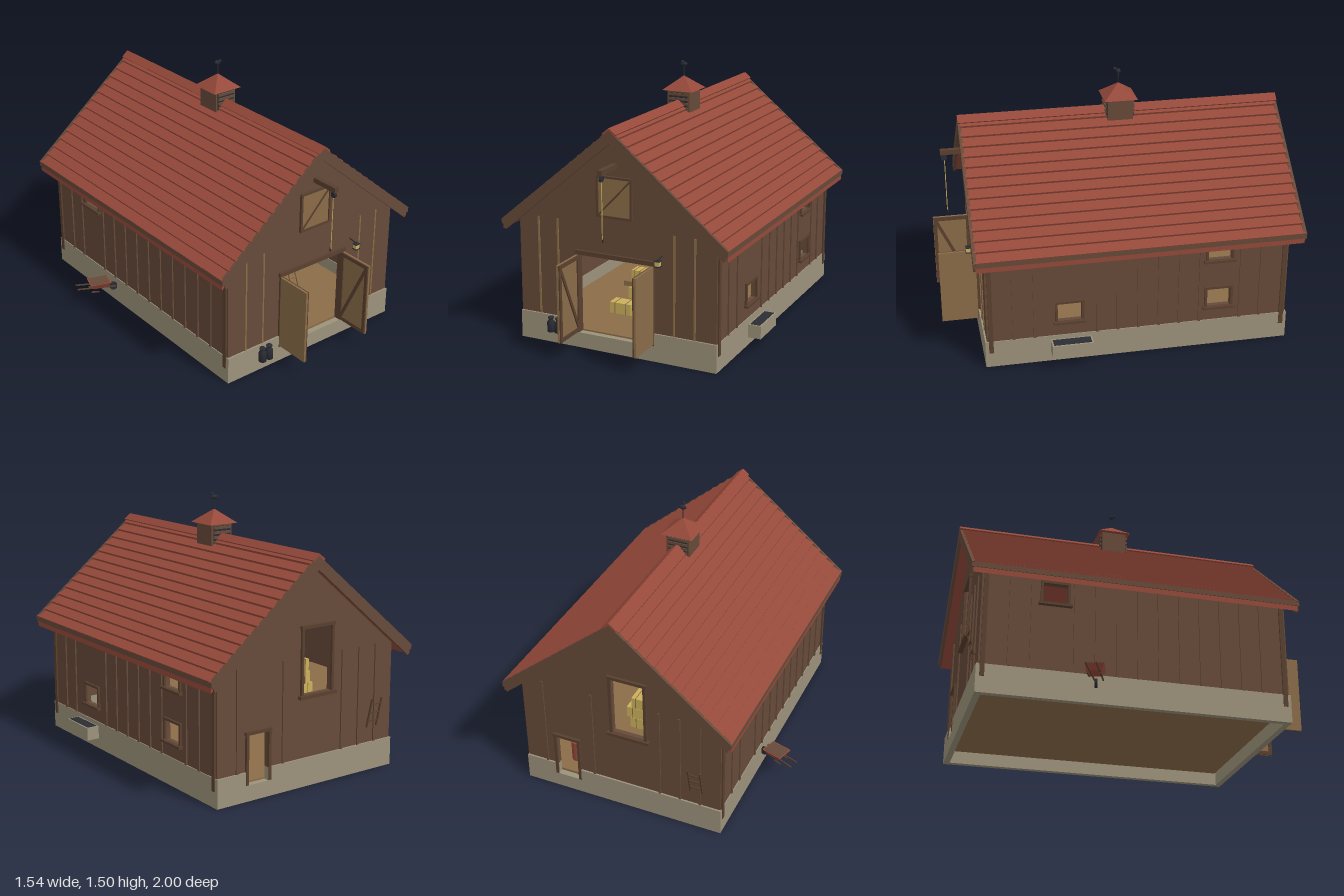
import * as THREE from 'three';

const mat = (name, color) => new THREE.MeshStandardMaterial({ name, color });

export function createModel() {
  const root = new THREE.Group();
  root.name = 'barn';
  const M = {
    wall: mat('barn board brown', 0x664a39),
    trim: mat('dark timber', 0x59402f),
    wood: mat('tan plank', 0x8b6c48),
    red: mat('roof red', 0x95493a),
    stone: mat('foundation stone', 0x9c927b),
    hay: mat('straw', 0xcbb05c),
    dark: mat('dark iron', 0x2b2d34),
  };
  const C = 0.06;                       // centre line of the barn
  const ZF = 0.78, ZB = -0.93, HW = 0.595;
  const SLOPE = 0.837, APEX = 1.205;

  const add = (name, geo, m, parent = root) => {
    const mesh = new THREE.Mesh(geo, m);
    mesh.name = name;
    parent.add(mesh);
    return mesh;
  };
  // box given by its min and max on each axis
  const box = (name, m, x0, x1, y0, y1, z0, z1, parent) => {
    const b = add(name, new THREE.BoxGeometry(x1 - x0, y1 - y0, z1 - z0), m, parent);
    b.position.set((x0 + x1) / 2, (y0 + y1) / 2, (z0 + z1) / 2);
    return b;
  };
  // square bar between two points
  const bar = (name, m, a, b, w, d = w, parent) => {
    const p = new THREE.Vector3(...a), q = new THREE.Vector3(...b);
    const mesh = add(name, new THREE.BoxGeometry(w, d, p.distanceTo(q)), m, parent);
    mesh.position.copy(p).add(q).multiplyScalar(0.5);
    mesh.lookAt(q);
    return mesh;
  };
  const cyl = (name, m, r0, r1, h, x, y, z, n = 12, parent = root) => {
    const c = add(name, new THREE.CylinderGeometry(r0, r1, h, n), m, parent);
    c.position.set(x, y, z);
    return c;
  };
  const poly = pts => new THREE.Shape(pts.map(p => new THREE.Vector2(...p)));
  const hole = (u0, u1, v0, v1) => poly([[u0, v0], [u0, v1], [u1, v1], [u1, v0]]);
  const extrude = (shape, depth) => new THREE.ExtrudeGeometry(shape, { depth, bevelEnabled: false });

  // Foundation ring with door gaps, and raised floor
  const FX0 = C - 0.6, FX1 = C + 0.6, FZ0 = -0.94, FZ1 = 0.79, T = 0.035;
  for (const x of [FX0, FX1 - T]) box('foundationSide', M.stone, x, x + T, 0, 0.16, FZ0, FZ1);
  for (const [z, a, b] of [[FZ1 - T, -0.17, 0.285], [FZ0, 0.33, 0.46]]) {
    box('foundationEnd', M.stone, FX0 + T, a, 0, 0.16, z, z + T);
    box('foundationEnd', M.stone, b, FX1 - T, 0, 0.16, z, z + T);
    box('threshold', M.stone, a, b, 0, 0.088, z, z + T);
  }
  box('floor', M.wood, FX0 + 0.045, FX1 - 0.045, 0.07, 0.092, FZ0 + 0.045, FZ1 - 0.045);

  // Gable walls
  const gable = () => poly([[C - HW, 0.16], [-0.17, 0.16], [-0.17, 0.54], [0.285, 0.54], [0.285, 0.16],
    [C + HW, 0.16], [C + HW, APEX - SLOPE * HW], [C, APEX], [C - HW, APEX - SLOPE * HW]]);
  add('frontWall', extrude(gable(), 0.025), M.wall).position.z = ZF - 0.025;
  const back = poly([[C - HW, 0.16], [0.33, 0.16], [0.33, 0.36], [0.46, 0.36], [0.46, 0.16],
    [C + HW, 0.16], [C + HW, APEX - SLOPE * HW], [C, APEX], [C - HW, APEX - SLOPE * HW]]);
  back.holes.push(hole(-0.09, 0.1, 0.51, 0.87));
  add('backWall', extrude(back, 0.025), M.wall).position.z = ZB;

  // Side walls with windows, given as z0, z1, y0, y1
  const upper = [-0.6, -0.465, 0.545, 0.66];
  const sides = { 1: [upper, [-0.6, -0.465, 0.25, 0.36], [0.25, 0.385, 0.25, 0.36]], '-1': [upper] };
  for (const s of [1, -1]) {
    const shape = poly([[-ZF + 0.025, 0.16], [-ZB - 0.025, 0.16], [-ZB - 0.025, 0.71], [-ZF + 0.025, 0.71]]);
    for (const [z0, z1, y0, y1] of sides[s]) shape.holes.push(hole(-z1, -z0, y0, y1));
    const w = add('sideWall', extrude(shape, 0.025), M.wall);
    w.rotation.y = Math.PI / 2;
    w.position.x = s > 0 ? C + HW - 0.025 : C - HW;
    const X = C + s * HW, out = d => [Math.min(X, X + s * d), Math.max(X, X + s * d)];
    for (const [z0, z1, y0, y1] of sides[s]) {
      for (const z of [z0 - 0.014, z1]) box('windowFrame', M.trim, ...out(0.012), y0, y1, z, z + 0.014);
      box('windowHead', M.trim, ...out(0.012), y1, y1 + 0.014, z0 - 0.014, z1 + 0.014);
      box('windowSill', M.trim, ...out(0.025), y0 - 0.014, y0, z0 - 0.024, z1 + 0.024);
    }
    // battens, skipping the windows
    for (let i = 0; i < 13; i++) {
      const z = 0.63 - i * 0.117;
      if (sides[s].some(q => z > q[0] - 0.03 && z < q[1] + 0.03)) continue;
      box('sideBatten', M.wall, ...out(0.008), 0.16, 0.69, z - 0.007, z + 0.007);
    }
    for (const z of [ZF - 0.035, ZB + 0.01])
      box('cornerBoard', M.trim, ...out(0.01), 0.09, 0.7, z, z + 0.025);
  }
  for (const x of [-0.415, -0.295, 0.41, 0.53]) box('frontBatten', M.wood, x - 0.005, x + 0.005, 0.16, 0.725, ZF, ZF + 0.006);
  for (const x of [-0.415, -0.295, -0.175, 0.23, 0.53]) box('backBatten', M.wall, x - 0.006, x + 0.006, 0.16, 0.72, ZB - 0.008, ZB);

  // Roof: stepped courses swept along the barn, plus verge and eave boards
  const RZ0 = -1.0, RZ1 = 0.84, RW = 0.675, N = 14, top = 1.255;
  for (const s of [1, -1]) {
    const pts = [[C, top - 0.05], [C, top]];
    for (let i = 1; i <= N; i++) {
      const d = RW * i / N, y = top - SLOPE * d;
      pts.push([C + s * (d + 0.005), y + 0.012], [C + s * d, y]);
    }
    pts.push([C + s * RW, top - 0.05 - SLOPE * RW]);
    const r = add('roofSlope', extrude(poly(pts), RZ1 - RZ0 - 0.02), M.red);
    r.position.z = RZ0 + 0.01;
    const verge = poly([[C, top - 0.065], [C, top + 0.008], [C + s * (RW + 0.006), top + 0.008 - SLOPE * RW],
      [C + s * (RW - 0.02), top - 0.05 - SLOPE * RW]]);
    for (const z of [RZ0, RZ1 - 0.018]) add('vergeBoard', extrude(verge, 0.018), M.wall).position.z = z;
    const xe = C + s * (RW - 0.004);
    box('eaveBoard', M.wall, xe - 0.008, xe + 0.008, 0.67, 0.698, RZ0, RZ1);
    bar('ridgeCap', M.red, [C + s * 0.018, 1.254, RZ0], [C + s * 0.018, 1.254, RZ1], 0.05, 0.012).rotateZ(s * 0.69 * -1);
  }

  // Cupola with louvres, pyramid roof and weathervane
  const CZ = -0.073;
  box('cupola', M.wall, C - 0.07, C + 0.07, 1.16, 1.328, CZ - 0.073, CZ + 0.073);
  for (const s of [1, -1]) {
    const z = CZ + s * 0.074;
    box('louvreOpening', M.dark, C - 0.058, C + 0.058, 1.215, 1.315, z - 0.003, z + 0.003);
    for (let i = 0; i < 4; i++)
      bar('louvreSlat', M.wall, [C - 0.058, 1.225 + i * 0.027, z + s * 0.005], [C + 0.058, 1.225 + i * 0.027, z + s * 0.005], 0.009, 0.015);
  }
  const cap = add('cupolaRoof', new THREE.ConeGeometry(0.134, 0.078, 4).toNonIndexed(), M.red);
  cap.geometry.computeVertexNormals();
  cap.rotation.y = Math.PI / 4;
  cap.position.set(C, 1.365, CZ);
  cyl('vanePole', M.dark, 0.003, 0.003, 0.08, C, 1.43, CZ, 6);
  const ball = (name, r, x, y, z, sx = 1) => {
    const b = add(name, new THREE.SphereGeometry(r, 10, 8), M.dark);
    b.position.set(x, y, z);
    b.scale.x = sx;
  };
  ball('vaneBody', 0.013, C, 1.472, CZ, 1.7);
  ball('vaneHead', 0.009, C, 1.487, CZ + 0.02);

  // Main doorway frame and open doors, braced on their inner faces
  for (const x of [-0.18, 0.28]) box('doorPost', M.trim, x, x + 0.015, 0.09, 0.55, ZF - 0.03, ZF + 0.012);
  box('doorLintel', M.trim, -0.185, 0.3, 0.542, 0.567, ZF - 0.03, ZF + 0.014);
  for (const s of [1, -1]) {
    const door = new THREE.Group();
    door.name = 'openDoor';
    root.add(door);
    const x = C - 0.003 + s * 0.23, xi = x - s * 0.01;
    box('doorPanel', M.wood, x - 0.006, x + 0.006, 0.1, 0.54, 0.785, 1.0, door);
    for (const y of [0.112, 0.528]) bar('doorRail', M.trim, [xi, y, 0.787], [xi, y, 0.998], 0.008, 0.022, door);
    for (const z of [0.796, 0.988]) box('doorStile', M.trim, xi - 0.004, xi + 0.004, 0.12, 0.52, z - 0.01, z + 0.01, door);
    bar('doorBrace', M.trim, [xi, 0.12, 0.8], [xi, 0.52, 0.985], 0.007, 0.018, door);
  }

  // Loft hatch, hoist beam, pulley and rope
  box('hatchPanel', M.wood, -0.045, 0.165, 0.775, 1.0, ZF, ZF + 0.008);
  for (const x of [-0.047, 0.155]) box('hatchStile', M.trim, x, x + 0.012, 0.775, 1.0, ZF, ZF + 0.015);
  for (const y of [0.772, 0.99]) box('hatchRail', M.trim, -0.047, 0.167, y, y + 0.012, ZF, ZF + 0.015);
  bar('hatchBrace', M.trim, [-0.035, 0.785, ZF + 0.01], [0.155, 0.985, ZF + 0.01], 0.008, 0.008);
  box('hoistBeam', M.trim, C - 0.014, C + 0.014, 1.045, 1.073, ZF - 0.02, 0.945);
  const pulley = cyl('pulley', M.dark, 0.017, 0.017, 0.014, C, 1.025, 0.925, 14);
  pulley.rotation.z = Math.PI / 2;
  cyl('hoistRope', M.hay, 0.0025, 0.0025, 0.33, C, 0.86, 0.922, 6);
  cyl('hoistHook', M.dark, 0.005, 0.003, 0.025, C, 0.69, 0.918, 6);

  // Back window and back door frames
  const frame = (name, x0, x1, y0, y1) => {
    for (const x of [x0 - 0.016, x1]) box(name, M.trim, x, x + 0.016, y0, y1, ZB - 0.014, ZB);
    box(name, M.trim, x0 - 0.02, x1 + 0.02, y1, y1 + 0.018, ZB - 0.016, ZB);
  };
  frame('backWindowFrame', -0.09, 0.1, 0.51, 0.87);
  box('backWindowSill', M.trim, -0.12, 0.13, 0.492, 0.51, ZB - 0.025, ZB);
  frame('backDoorFrame', 0.33, 0.46, 0.09, 0.36);

  // Loft, posts and braces inside
  box('loftFloor', M.wood, C - 0.57, C + 0.57, 0.433, 0.457, -0.9, 0.3);
  for (const z of [0.28, -0.25, -0.7]) {
    box('post', M.trim, C - 0.016, C + 0.016, 0.09, 0.433, z - 0.016, z + 0.016);
    for (const s of [1, -1]) bar('postBrace', M.trim, [C, 0.35, z], [C + s * 0.08, 0.43, z], 0.014);
  }
  for (const x of [0.235, 0.285]) bar('loftLadderRail', M.wood, [x, 0.09, 0.45], [x, 0.47, 0.29], 0.01);
  for (let i = 1; i < 7; i++) bar('loftLadderRung', M.wood, [0.235, 0.09 + i * 0.055, 0.45 - i * 0.023], [0.285, 0.09 + i * 0.055, 0.45 - i * 0.023], 0.008);

  // Straw bales, each with two dark cords: x0, x1, y0, z0, z1
  for (const [x0, x1, y, z0, z1] of [[-0.155, -0.02, 0.092, 0.38, 0.46], [-0.16, -0.085, 0.195, 0.1, 0.18],
    [-0.17, -0.03, 0.092, 0.08, 0.2], [0, 0.155, 0.092, 0.4, 0.49], [0.005, 0.16, 0.16, 0.4, 0.49],
    [0.125, 0.21, 0.457, 0.12, 0.22], [-0.08, 0.06, 0.457, -0.8, -0.7], [-0.06, 0.08, 0.525, -0.8, -0.7],
    [-0.05, 0.05, 0.593, -0.8, -0.7]]) {
    box('strawBale', M.hay, x0, x1, y, y + 0.066, z0, z1);
    for (const f of [0.25, 0.75]) {
      const x = x0 + (x1 - x0) * f;
      box('baleCord', M.wood, x - 0.002, x + 0.002, y - 0.001, y + 0.068, z0 - 0.002, z1 + 0.002);
    }
  }
  box('baleShelf', M.wood, -0.2, -0.04, 0.165, 0.195, 0.08, 0.2);

  // Milk cans and a barrel
  const can = [[0, 0], [0.022, 0], [0.022, 0.055], [0.012, 0.068], [0.012, 0.075], [0.017, 0.077], [0.017, 0.085], [0, 0.085]];
  for (const [x, y, z] of [[-0.327, 0.08, 0.825], [-0.28, 0.08, 0.825], [0.185, 0.092, 0.42], [0.215, 0.092, 0.36]])
    add('milkCan', new THREE.LatheGeometry(can.map(p => new THREE.Vector2(...p)), 14), M.dark).position.set(x, y, z);
  cyl('barrel', M.red, 0.035, 0.035, 0.13, 0.42, 0.157, -0.78);

  // Wall lantern
  bar('lanternArm', M.dark, [0.34, 0.605, ZF], [0.34, 0.595, 0.84], 0.005);
  box('lanternGlass', M.hay, 0.328, 0.352, 0.565, 0.59, 0.823, 0.847);
  for (const y of [0.56, 0.59]) box('lanternPlate', M.dark, 0.324, 0.356, y, y + 0.005, 0.82, 0.85);

  // Water trough by the side wall
  box('trough', M.stone, 0.69, 0.765, 0.08, 0.155, 0.2, 0.43);
  box('troughWater', M.dark, 0.699, 0.756, 0.153, 0.157, 0.209, 0.421);

  // Short ladder on the back wall
  for (const x of [-0.43, -0.36]) bar('ladderRail', M.trim, [x, 0.25, -0.936], [x, 0.42, -0.975], 0.008);
  for (const t of [0.2, 0.5, 0.8]) bar('ladderRung', M.trim, [-0.43, 0.25 + 0.17 * t, -0.936 - 0.039 * t], [-0.36, 0.25 + 0.17 * t, -0.936 - 0.039 * t], 0.007);

  // Wheelbarrow
  const cart = new THREE.Group();
  cart.name = 'wheelbarrow';
  cart.position.set(-0.64, 0, -0.335);
  cart.rotation.y = -0.3;
  root.add(cart);
  const tray = add('tray', new THREE.CylinderGeometry(0.09, 0.06, 0.034, 4).toNonIndexed(), M.red, cart);
  tray.geometry.rotateY(Math.PI / 4).computeVertexNormals();
  tray.scale.z = 0.8;
  tray.position.y = 0.143;
  box('trayLoad', M.wall, -0.056, 0.056, 0.158, 0.162, -0.044, 0.044, cart);
  for (const s of [1, -1]) {
    bar('handle', M.trim, [-0.135, 0.152, s * 0.036], [0.09, 0.105, s * 0.014], 0.007, 0.007, cart);
    bar('leg', M.trim, [-0.03, 0.13, s * 0.032], [-0.038, 0.082, s * 0.034], 0.007, 0.007, cart);
  }
  cyl('wheel', M.dark, 0.025, 0.025, 0.014, 0.088, 0.106, 0, 16, cart).rotation.x = Math.PI / 2;

  return root;
}
